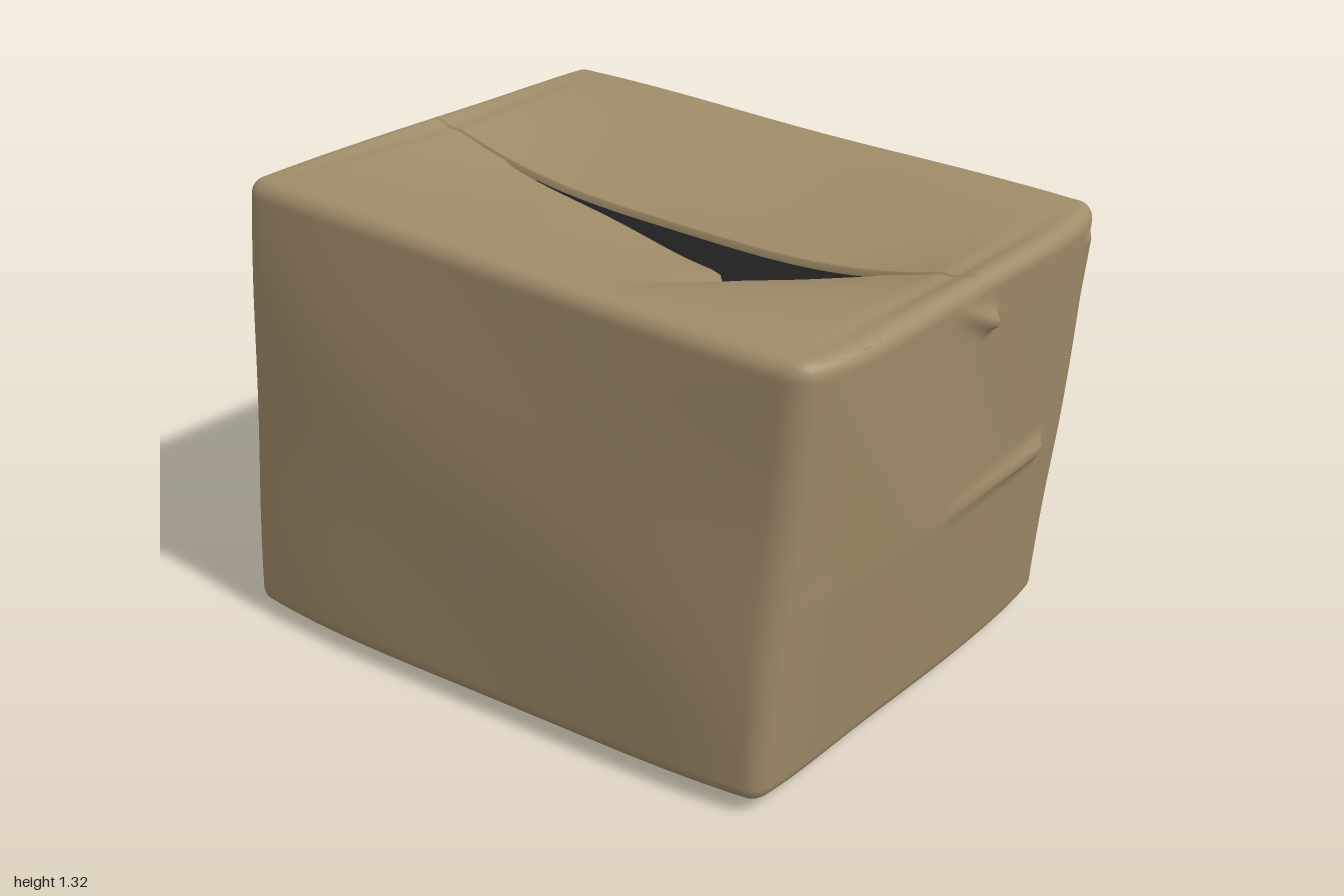
import * as THREE from 'three';
import { mergeVertices } from 'three/addons/utils/BufferGeometryUtils.js';

const HALF = [0.7, 0.63, 0.92]; // nominal half sizes
const R = 0.045; // edge rounding
const { clamp, smoothstep } = THREE.MathUtils;
const bell = (d, width) => Math.exp(-((d / width) ** 2));

// Corners of the battered carton, keyed by the signs of x, y and z
const CORNERS = {
  '-1-1-1': [-0.705, 0.025, -0.99], '1-1-1': [0.71, 0.01, -0.94],
  '-1-11': [-0.72, 0.035, 0.79], '1-11': [0.685, 0.035, 0.835],
  '-11-1': [-0.635, 1.325, -0.975], '11-1': [0.75, 1.32, -0.885],
  '-111': [-0.665, 1.255, 0.86], '111': [0.69, 1.28, 0.93],
};

// Maps a point of the unit cube to the rounded, slumped and bulging carton
function warp(u, v, w) {
  const raw = [u, v, w].map((c, i) => c * HALF[i]);
  const core = raw.map((c, i) => clamp(c, R - HALF[i], HALF[i] - R));
  const off = new THREE.Vector3(...raw.map((c, i) => c - core[i]));
  if (off.length() > R) off.setLength(R);
  [u, v, w] = off.toArray().map((c, i) => (core[i] + c) / HALF[i]);

  const p = new THREE.Vector3();
  for (const a of [-1, 1]) for (const b of [-1, 1]) for (const c of [-1, 1]) {
    const k = (1 + a * u) * (1 + b * v) * (1 + c * w) / 8;
    const corner = CORNERS['' + a + b + c];
    p.x += k * corner[0];
    p.y += k * corner[1];
    p.z += k * corner[2];
  }
  // side and end bulges
  const sideBulge = u < 0 ? 0.048 * (1 - 0.5 * (v + 0.3) ** 2) : 0.02 * (1 - v * v * 0.7);
  p.x += u * sideBulge * (1 - w ** 4);
  p.z += w * (1 - u ** 6) * (w > 0 ? 0.025 + 0.035 * Math.min(1, (v + 1) * 1.1) : 0.014);
  // gentle dents
  p.x += 0.004 * Math.sin(7 * p.y + 3 * p.z);
  p.y += 0.004 * Math.sin(6 * p.x + 1) * Math.cos(5 * p.z);
  p.z += 0.003 * Math.sin(6 * p.x + 4 * p.y);
  return p;
}

// Creases on the end walls: from x, y to x, y, then width and height
const FRONT_FOLDS = [
  [0.0, 0.605, 0.45, 0.622, 0.024, 0.024], // long horizontal fold
  [-0.05, 1.205, 0.08, 1.135, 0.022, 0.025], // loose tape tab
  [0.06, 1.19, 0.085, 1.14, 0.016, 0.014],
  [0.62, 1.03, 0.6, 1.2, 0.022, 0.012], // pinched corner
];
const BACK_FOLDS = [
  [-0.6, 0.63, 0.6, 0.6, 0.08, -0.009], // halfway crease
  [-0.1, 0.55, 0.1, 0.45, 0.06, 0.007],
  [0.11, 1.1, 0.12, 1.24, 0.04, 0.012], // wrinkles under the top edge
  [0.25, 1.08, 0.22, 1.2, 0.04, -0.007],
];

function foldHeight(folds, x, y) {
  let h = 0;
  for (const [x0, y0, x1, y1, width, height] of folds) {
    const dx = x1 - x0, dy = y1 - y0;
    const t = clamp(((x - x0) * dx + (y - y0) * dy) / (dx * dx + dy * dy), 0, 1);
    const swell = 0.25 + 0.75 * t;
    h += height * swell * bell(Math.hypot(x - x0 - t * dx, y - y0 - t * dy), width);
  }
  return h;
}

// Concentrates grid lines near the edges
const ease = (t) => Math.sin(t * Math.PI / 2);

function applyRule(geo, rule) {
  const pos = geo.attributes.position;
  for (let i = 0; i < pos.count; i++) {
    const p = rule(pos.getX(i), pos.getY(i), pos.getZ(i));
    pos.setXYZ(i, p.x, p.y, p.z);
  }
  geo.deleteAttribute('uv');
  geo.deleteAttribute('normal');
  const merged = mergeVertices(geo, 1e-5);
  merged.computeVertexNormals();
  return merged;
}

// Four upright walls, without top and bottom
function wallGeometry() {
  const geo = new THREE.BoxGeometry(2, 2, 2, 120, 100, 48);
  const index = Array.from(geo.index.array);
  const keep = geo.groups.filter((g) => g.materialIndex !== 2 && g.materialIndex !== 3)
    .flatMap((g) => index.slice(g.start, g.start + g.count));
  geo.setIndex(keep);
  geo.clearGroups();
  return applyRule(geo, (x, y, z) => {
    const p = warp(ease(x), ease(y), ease(z));
    const flat = (1 - smoothstep(Math.abs(ease(y)), 0.93, 0.99))
      * (1 - smoothstep(Math.abs(ease(x)), 0.9, 1));
    if (z === 1) p.z += flat * foldHeight(FRONT_FOLDS, p.x, p.y);
    if (z === -1) p.z -= flat * foldHeight(BACK_FOLDS, p.x, p.y);
    return p;
  });
}

// Line where the two flaps meet, in unit-cube u
const seam = (w) => 0.04 + 0.008 * w;

// One closing flap; side is -1 or 1 in x, level is 1 for top, -1 for bottom
function flapGeometry(side, level) {
  const geo = new THREE.PlaneGeometry(1, 2, 36, 80);
  return applyRule(geo, (x, t) => {
    const s = x + 0.5;
    const w = ease(t);
    let edge = seam(w);
    const inside = 1 - w ** 8;
    // the top seam gapes in the middle and has a torn notch
    if (level > 0 && side < 0) {
      edge -= 0.052 * Math.sqrt(Math.max(0, 1 - (w / 0.67) ** 2));
      edge -= 0.14 * bell(w - 0.28, 0.065);
    }
    const reach = s < 0.5 ? 2 * s * s : 1 - 0.5 * (2 - 2 * s) ** 1.6;
    const p = warp(side + (edge - side) * reach, level, w);
    const lip = s > 0.98 ? inside : 0;
    if (level > 0) {
      const span = Math.max(0, 1 - Math.abs(w / 0.92) ** 2.6);
      const depth = side < 0 ? 0.12 + 0.075 * bell(w - 0.2, 0.35) : 0.115;
      p.y -= depth * span * reach ** 1.5 + 0.018 * lip;
      // shallow valley just inside the end edges
      p.y -= 0.014 * bell(Math.abs(w) - 0.91, 0.03) * reach;
    } else if (side < 0) {
      // this bottom flap hangs slightly lower and turns up at the seam
      p.y += -0.018 * inside * reach + 0.035 * lip;
    }
    return p;
  });
}

export function createModel() {
  const model = new THREE.Group();
  const cardboard = new THREE.MeshStandardMaterial({ color: 0x9f8b68, side: THREE.DoubleSide });
  cardboard.name = 'cardboard';
  const darkInterior = new THREE.MeshStandardMaterial({ color: 0x1f1f20 });
  darkInterior.name = 'dark interior';

  const add = (name, geo, mat = cardboard) => {
    const mesh = new THREE.Mesh(geo, mat);
    mesh.name = name;
    model.add(mesh);
  };

  add('walls', wallGeometry());
  add('topFlapRight', flapGeometry(-1, 1));
  add('topFlapLeft', flapGeometry(1, 1));
  add('bottomFlapRight', flapGeometry(-1, -1));
  add('bottomFlapLeft', flapGeometry(1, -1));

  // Dark contents seen through the open seam
  add('interior', applyRule(new THREE.BoxGeometry(2, 2, 2, 8, 8, 8),
    (x, y, z) => warp(x * 0.93, y > 0 ? y * 0.55 : y * 0.91, z * 0.92)), darkInterior);

  return model;
}
